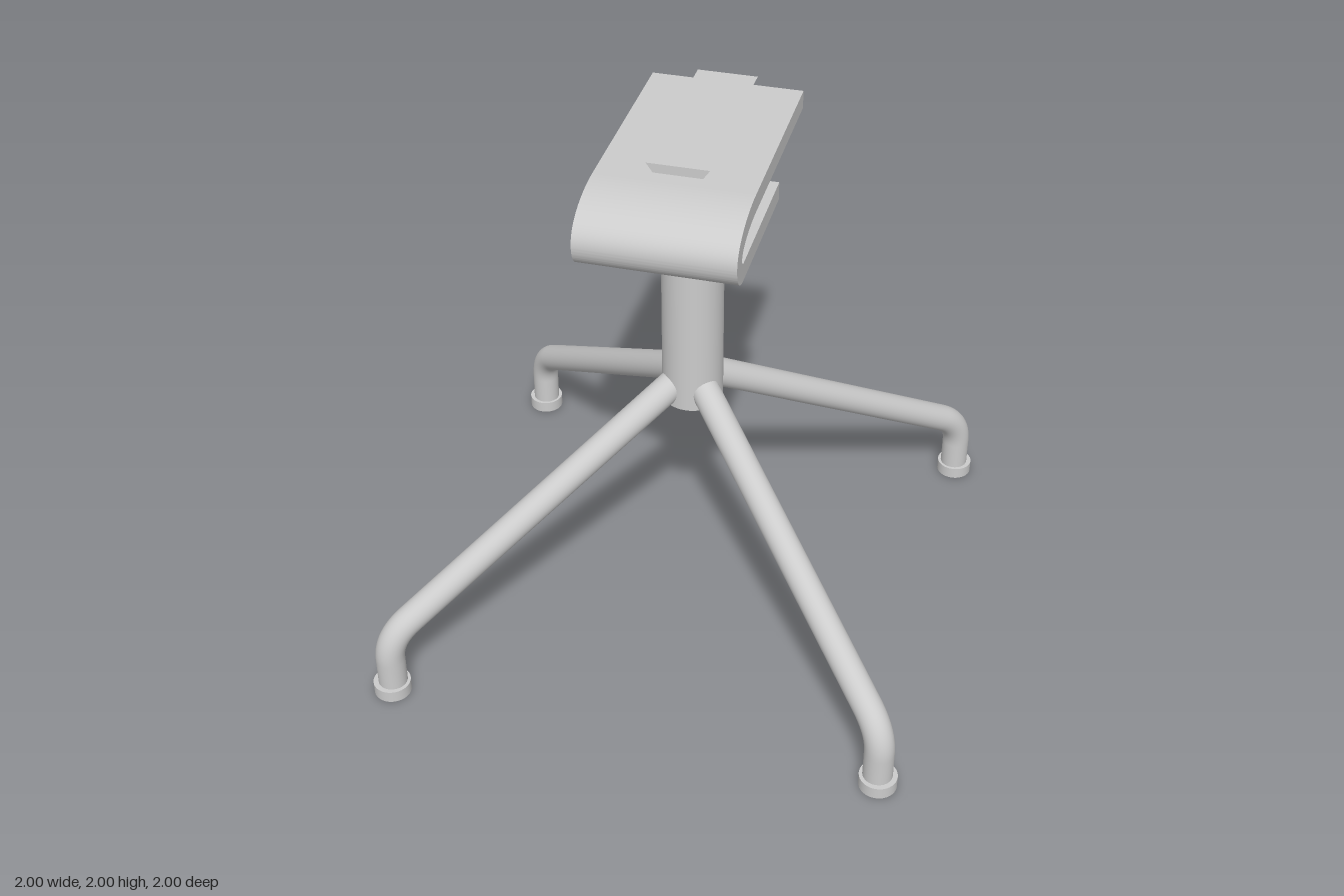
import * as THREE from 'three';
import { toCreasedNormals } from 'three/addons/utils/BufferGeometryUtils.js';

const grey = new THREE.MeshStandardMaterial({ color: 0xcccccc });

function add(parent, name, geometry, x = 0, y = 0, z = 0) {
  const mesh = new THREE.Mesh(geometry, grey);
  mesh.name = name;
  mesh.position.set(x, y, z);
  parent.add(mesh);
  return mesh;
}

function cylinder(parent, name, radius, y0, y1, x = 0, z = 0) {
  return add(parent, name, new THREE.CylinderGeometry(radius, radius, y1 - y0, 48), x, (y0 + y1) / 2, z);
}

// One leg in its radial plane: straight slope, rounded bend, vertical end
function legGeometry(sx, sz) {
  const p = (x, y) => new THREE.Vector3(sx * x, y, sz * x);
  const path = new THREE.CurvePath();
  path.add(new THREE.LineCurve3(p(0.02, 1.014), p(0.86, 0.315)));
  path.add(new THREE.QuadraticBezierCurve3(p(0.86, 0.315), p(0.927, 0.26), p(0.927, 0.16)));
  path.add(new THREE.LineCurve3(p(0.927, 0.16), p(0.927, 0.03)));
  return new THREE.TubeGeometry(path, 120, 0.055, 32);
}

// Folded spring plate, drawn in (z, y) and extruded across x
function plateGeometry(width) {
  const s = new THREE.Shape();
  s.moveTo(-0.12, 1.73);
  s.lineTo(0.43, 1.73);
  s.bezierCurveTo(0.48, 1.73, 0.515, 1.775, 0.515, 1.825);
  s.bezierCurveTo(0.515, 1.92, 0.38, 1.965, 0.25, 1.965);
  s.lineTo(-0.505, 1.965);
  s.lineTo(-0.505, 1.895);
  s.lineTo(0.25, 1.895);
  s.bezierCurveTo(0.35, 1.895, 0.445, 1.865, 0.445, 1.825);
  s.quadraticCurveTo(0.445, 1.8, 0.42, 1.8);
  s.lineTo(-0.12, 1.8);
  s.closePath();
  const g = new THREE.ExtrudeGeometry(s, { depth: width, bevelEnabled: false, curveSegments: 24 });
  g.translate(0, 0, -width / 2);
  g.rotateY(-Math.PI / 2);
  return toCreasedNormals(g, 0.5);
}

// Dovetail rail, wider at the top
function railGeometry(z0, z1) {
  const s = new THREE.Shape([
    new THREE.Vector2(-0.085, 1.96), new THREE.Vector2(0.085, 1.96),
    new THREE.Vector2(0.113, 2), new THREE.Vector2(-0.113, 2),
  ]);
  const g = new THREE.ExtrudeGeometry(s, { depth: z1 - z0, bevelEnabled: false });
  return g.translate(0, 0, z0);
}

export function createModel() {
  const model = new THREE.Group();
  model.name = 'pedestalStand';

  // Central column and inner post
  cylinder(model, 'column', 0.115, 0.905, 1.54);
  cylinder(model, 'post', 0.07, 1.5, 1.74);

  // Four splayed legs with feet
  for (const sx of [-1, 1]) {
    for (const sz of [-1, 1]) {
      const leg = new THREE.Group();
      leg.name = (sz > 0 ? 'front' : 'back') + (sx > 0 ? 'Left' : 'Right') + 'Leg';
      add(leg, 'legTube', legGeometry(sx, sz));
      cylinder(leg, 'foot', 0.07, 0, 0.048, sx * 0.93, sz * 0.93);
      model.add(leg);
    }
  }

  // Seat mount
  add(model, 'springPlate', plateGeometry(0.57));
  add(model, 'dovetailRail', railGeometry(-0.505, 0.2));
  return model;
}
